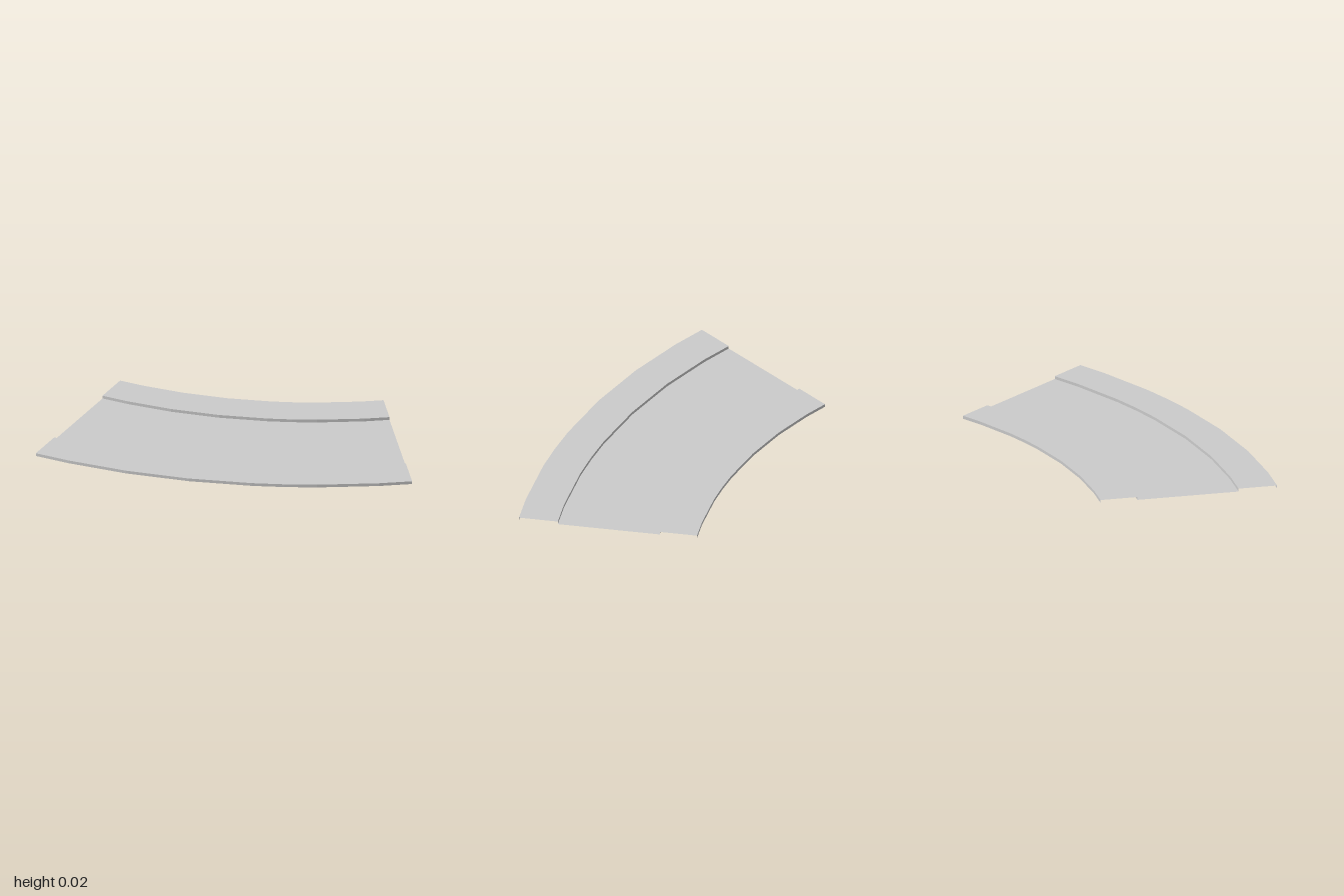
import * as THREE from 'three';

// Plan of the bend: radii from a common centre, and the angle of every joint
const CENTRE = { x: -1, z: -2.6 };
const R = { inner: 2.333, innerKerb: 2.542, outerKerb: 3.115, outer: 3.333 };
const HEIGHT = 0.017;
const ANGLES = [0, 3.5, 9.3, 15.5, 21.6, 24.7, 27.8, 33.7, 36.87].map(THREE.MathUtils.degToRad);

const material = new THREE.MeshStandardMaterial({
  color: 0xcccccc, flatShading: true, side: THREE.DoubleSide,
});

// Sweeps a [radius, y] profile along the bend; open at the ends and below.
// Profiles run from the inner side to the outer side.
function sweep(name, profile) {
  const positions = [];
  const index = [];
  const n = profile.length;
  ANGLES.forEach((a, i) => {
    profile.forEach(([r, y], j) => {
      positions.push(CENTRE.x + r * Math.sin(a), y, CENTRE.z + r * Math.cos(a));
      if (i > 0 && j > 0) {
        const d = i * n + j, c = d - 1, b = d - n, e = b - 1;
        index.push(e, b, d, e, d, c);
      }
    });
  });
  const geometry = new THREE.BufferGeometry();
  geometry.setAttribute('position', new THREE.Float32BufferAttribute(positions, 3));
  geometry.setIndex(index);
  const flat = geometry.toNonIndexed();
  flat.computeVertexNormals();
  const mesh = new THREE.Mesh(flat, material);
  mesh.name = name;
  return mesh;
}

// Raised walkway: side, top and side
const raised = (r0, r1) => [[r0, 0], [r0, HEIGHT], [r1, HEIGHT], [r1, 0]];

export function createModel() {
  const group = new THREE.Group();
  group.name = 'curvedRoad';
  group.add(
    sweep('roadSurface', [[R.innerKerb, 0], [R.outerKerb, 0]]),
    sweep('innerSidewalk', raised(R.inner, R.innerKerb)),
    sweep('outerSidewalk', raised(R.outerKerb, R.outer)),
  );
  return group;
}
